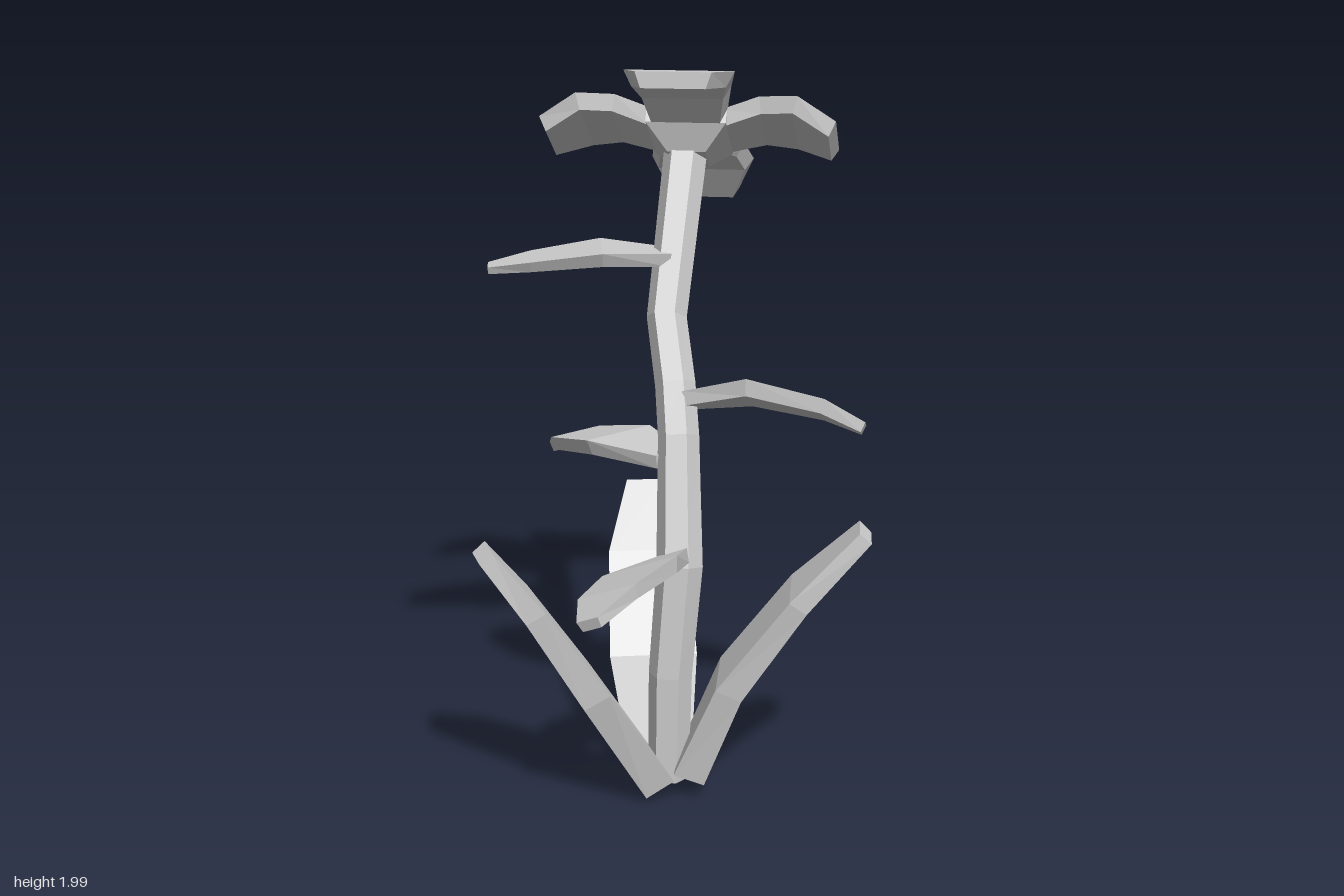
import * as THREE from 'three';

const V = (x, y, z) => new THREE.Vector3(x, y, z);
const UP = V(0, 1, 0);

// Flat-shaded solid skinned over rings (counter-clockwise seen from the far end)
function loft(rings) {
  const out = [];
  const tri = (...pts) => pts.forEach(p => out.push(p.x, p.y, p.z));
  const n = rings[0].length;
  for (let k = 0; k < rings.length - 1; k++) {
    const a = rings[k], b = rings[k + 1];
    for (let i = 0; i < n; i++) {
      const j = (i + 1) % n;
      tri(a[i], a[j], b[j]);
      tri(a[i], b[j], b[i]);
    }
  }
  const first = rings[0], last = rings[rings.length - 1];
  for (let i = 1; i < n - 1; i++) {
    tri(first[0], first[i + 1], first[i]);
    tri(last[0], last[i], last[i + 1]);
  }
  const g = new THREE.BufferGeometry();
  g.setAttribute('position', new THREE.Float32BufferAttribute(out, 3));
  g.computeVertexNormals();
  return g;
}

// Direction of travel at station k
function tangent(pts, k) {
  const a = pts[Math.max(k - 1, 0)], b = pts[Math.min(k + 1, pts.length - 1)];
  return b.clone().sub(a).normalize();
}

// Leaf or petal: stations are [x, y, z, halfWidth, thickness]; underside is narrower
function blade(stations, roll = 0) {
  const pts = stations.map(s => V(s[0], s[1], s[2]));
  const whole = pts[pts.length - 1].clone().sub(pts[0]).normalize();
  const side = UP.clone().cross(whole).normalize().applyAxisAngle(whole, roll);
  return loft(stations.map(([, , , w, t], k) => {
    const normal = tangent(pts, k).cross(side).normalize();
    const corner = (sx, sy) => pts[k].clone()
      .addScaledVector(side, sx * w * (sy < 0 ? 0.85 : 1))
      .addScaledVector(normal, sy * t / 2);
    return [corner(1, 1), corner(-1, 1), corner(-1, -1), corner(1, -1)];
  }));
}

// Six-sided stalk: stations are [x, y, z, radius]
function stalk(stations) {
  const pts = stations.map(s => V(s[0], s[1], s[2]));
  return loft(stations.map(([, , , r], k) => {
    const t = tangent(pts, k);
    const v = t.clone().cross(V(1, 0, 0)).normalize();
    const u = v.clone().cross(t);
    return Array.from({ length: 6 }, (_, i) => {
      const a = i * Math.PI / 3;
      return pts[k].clone().addScaledVector(u, r * Math.cos(a)).addScaledVector(v, r * Math.sin(a));
    });
  }));
}

const square = (h, y, z = 0) => [V(h, y, z + h), V(h, y, z - h), V(-h, y, z - h), V(-h, y, z + h)];

export function createModel() {
  const model = new THREE.Group();
  model.name = 'flowerPlant';
  const grey = new THREE.MeshStandardMaterial({ color: 0xcccccc, flatShading: true });
  grey.name = 'plain grey';
  const add = (parent, name, geometry) => {
    const mesh = new THREE.Mesh(geometry, grey);
    mesh.name = name;
    parent.add(mesh);
    return mesh;
  };

  add(model, 'stem', stalk([
    [0, 0.04, 0.25, 0.058], [0.005, 0.35, 0.245, 0.061], [0.027, 0.66, 0.215, 0.065],
    [0.008, 1.0, 0.095, 0.058], [-0.01, 1.13, 0.03, 0.057],
    [-0.048, 1.3, -0.07, 0.057], [-0.027, 1.74, -0.32, 0.063],
  ]));

  // Tall leaves rising from the ground
  add(model, 'tallLeafRight', blade([
    [-0.04, 0.045, 0.285, 0.085, 0.09], [-0.21, 0.35, 0.37, 0.13, 0.08],
    [-0.36, 0.6, 0.425, 0.115, 0.06], [-0.47, 0.765, 0.475, 0.058, 0.045],
  ]));
  add(model, 'tallLeafLeft', blade([
    [0.065, 0.07, 0.255, 0.088, 0.09], [0.175, 0.34, 0.25, 0.122, 0.08],
    [0.362, 0.6, 0.245, 0.116, 0.06], [0.54, 0.785, 0.228, 0.058, 0.045],
  ]));
  add(model, 'tallLeafBack', blade([
    [-0.035, 0.025, 0.185, 0.085, 0.09], [-0.07, 0.33, 0.08, 0.125, 0.08],
    [-0.11, 0.58, -0.1, 0.115, 0.06], [-0.14, 0.75, -0.25, 0.055, 0.045],
  ]));

  // Small leaves along the stem
  add(model, 'stemLeafFront', blade([
    [0.02, 0.69, 0.24, 0.045, 0.04], [-0.05, 0.7, 0.4, 0.125, 0.045],
    [-0.11, 0.69, 0.57, 0.095, 0.04], [-0.14, 0.665, 0.7, 0.035, 0.03],
  ], 0.4));
  add(model, 'stemLeafLeft', blade([
    [0.02, 1.09, 0.05, 0.05, 0.04], [0.2, 1.115, 0.04, 0.125, 0.045],
    [0.41, 1.08, 0.06, 0.09, 0.04], [0.52, 1.035, 0.075, 0.035, 0.03],
  ], -0.4));
  add(model, 'stemLeafBackRight', blade([
    [-0.02, 0.93, 0.09, 0.05, 0.04], [-0.18, 0.945, -0.025, 0.118, 0.045],
    [-0.325, 0.91, -0.15, 0.092, 0.04], [-0.39, 0.865, -0.225, 0.035, 0.03],
  ]));
  add(model, 'stemLeafRight', blade([
    [-0.05, 1.455, -0.15, 0.05, 0.04], [-0.24, 1.47, -0.115, 0.12, 0.04],
    [-0.44, 1.445, -0.085, 0.088, 0.03], [-0.555, 1.43, -0.05, 0.04, 0.02],
  ]));

  // Blossom facing up and back along the stem
  const blossom = new THREE.Group();
  blossom.name = 'blossom';
  blossom.position.set(-0.018, 1.776, -0.346);
  blossom.rotation.x = -0.535;
  model.add(blossom);
  add(blossom, 'blossomCentre', loft([
    square(0.055, -0.075), square(0.115, -0.01), square(0.115, 0.03), square(0.055, 0, -0.01),
  ]));
  const petal = blade([
    [0, 0.01, 0.105, 0.115, 0.045], [0, 0.042, 0.21, 0.135, 0.045],
    [0, 0.037, 0.31, 0.155, 0.045], [0, -0.015, 0.415, 0.105, 0.045],
  ]);
  for (let i = 0; i < 4; i++) {
    add(blossom, 'petal', petal).rotation.y = i * Math.PI / 2;
  }
  return model;
}
